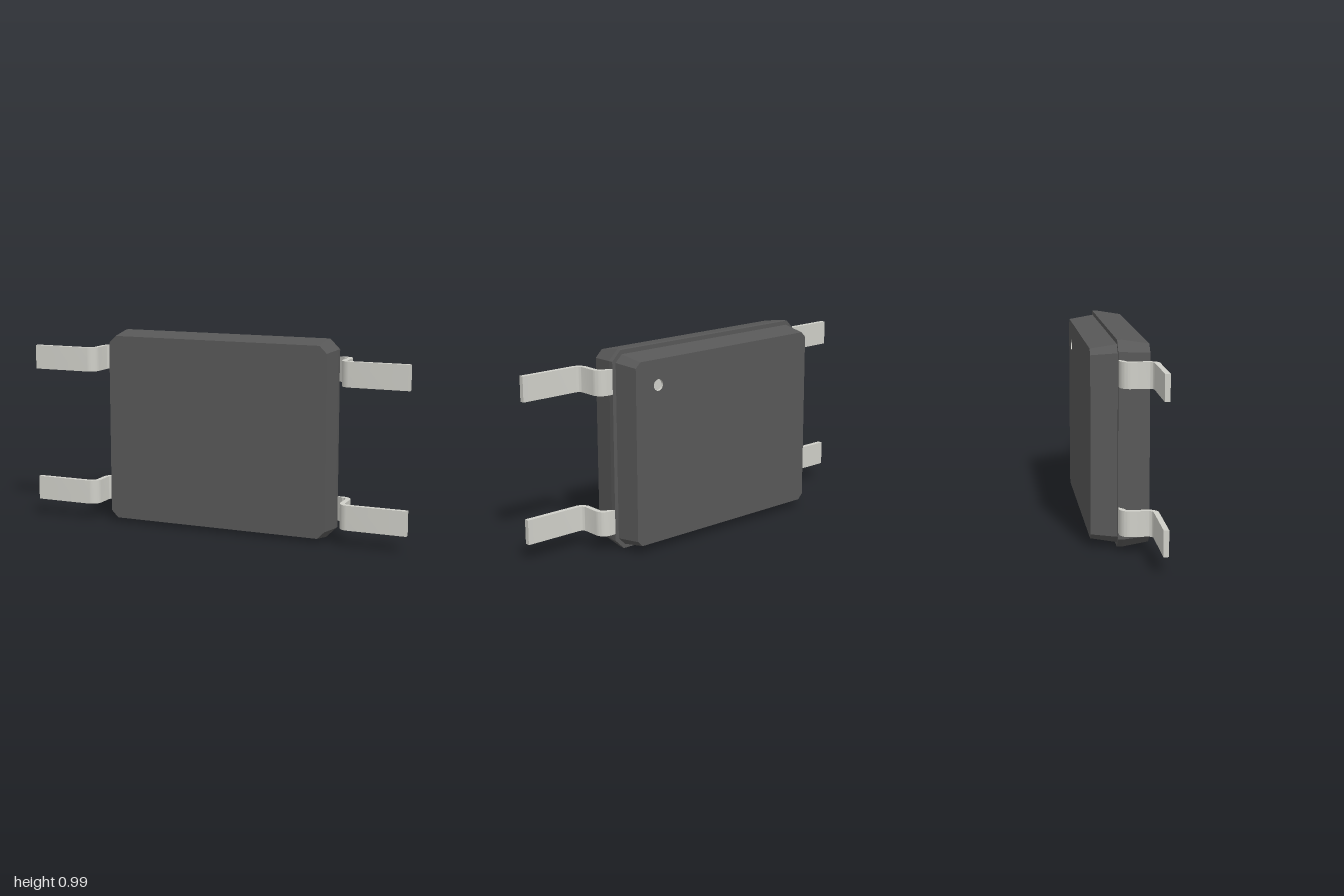
import * as THREE from 'three';
import { mergeGeometries, toCreasedNormals } from 'three/addons/utils/BufferGeometryUtils.js';

const MID = 0.494; // height of the body centre
const dark = new THREE.MeshStandardMaterial({ color: 0x585858, flatShading: true });
const metal = new THREE.MeshStandardMaterial({ color: 0xd0d0c9 });

// rectangle with chamfered corners, counter-clockwise
function outline([hx, hy, c]) {
  return [
    [hx, c - hy], [hx, hy - c], [hx - c, hy], [c - hx, hy],
    [-hx, hy - c], [-hx, c - hy], [c - hx, -hy], [hx - c, -hy],
  ].map(([x, y]) => new THREE.Vector2(x, y));
}

// sections run from back to front: [z, halfWidth, halfHeight, chamfer]
function loft(sections, hole) {
  const pos = [];
  for (let s = 0; s < sections.length - 1; s++) {
    const [za, ...sa] = sections[s], [zb, ...sb] = sections[s + 1];
    const a = outline(sa), b = outline(sb);
    a.forEach((p, i) => {
      const j = (i + 1) % a.length;
      const [A, B, C, D] = [[p.x, p.y, za], [a[j].x, a[j].y, za], [b[j].x, b[j].y, zb], [b[i].x, b[i].y, zb]];
      pos.push(...A, ...B, ...C, ...A, ...C, ...D);
    });
  }
  const sides = new THREE.BufferGeometry();
  sides.setAttribute('position', new THREE.Float32BufferAttribute(pos, 3));
  sides.computeVertexNormals();

  const [zBack, ...back] = sections[0], [zFront, ...front] = sections.at(-1);
  const backShape = new THREE.Shape(outline(back));
  if (hole) backShape.holes.push(new THREE.Path().absarc(-hole.x, hole.y, hole.r, 0, Math.PI * 2, true));
  const caps = [
    new THREE.ShapeGeometry(backShape, 16).rotateY(Math.PI).translate(0, 0, zBack),
    new THREE.ShapeGeometry(new THREE.Shape(outline(front))).translate(0, 0, zFront),
  ].map((g) => g.toNonIndexed().deleteAttribute('uv'));
  return mergeGeometries([sides, ...caps]);
}

// gull-wing strip: profile in x and -z, extruded along y
function leadGeometry() {
  const t = 0.025, w = 0.123, R = 0.05, r = R - t, xo = 0.68, q = Math.PI / 2;
  const xi = xo - t, zIn = 0.025, zOut = -0.152;
  const s = new THREE.Shape();
  s.moveTo(0.6, zIn - t);
  s.absarc(xi - r, zIn - R, r, q, 0, true);
  s.absarc(xi + R, zOut + R, R, Math.PI, Math.PI + q, false);
  s.lineTo(1, zOut);
  s.lineTo(1, zOut + t);
  s.absarc(xo + r, zOut + R, r, Math.PI + q, Math.PI, true);
  s.absarc(xo - R, zIn - R, R, 0, q, false);
  s.lineTo(0.6, zIn);
  const g = new THREE.ExtrudeGeometry(s, { depth: w, bevelEnabled: false, curveSegments: 8 });
  return toCreasedNormals(g.translate(0, 0, -w / 2).rotateX(-Math.PI / 2), 0.6);
}

export function createModel() {
  const group = new THREE.Group();
  const add = (name, geometry, material, x, y, z) => {
    const mesh = new THREE.Mesh(geometry, material);
    mesh.name = name;
    mesh.position.set(x, y, z);
    group.add(mesh);
    return mesh;
  };

  // moulded body: wide front half, slightly smaller back half
  const mark = { x: 0.425, y: 0.328, r: 0.028, depth: 0.012 };
  add('bodyFront', loft([
    [-0.025, 0.6, 0.494, 0.05], [0, 0.6, 0.494, 0.05], [0.125, 0.583, 0.474, 0.037],
  ]), dark, 0, MID, 0);
  add('bodyBack', loft([
    [-0.15, 0.56, 0.453, 0.027], [-0.025, 0.58, 0.473, 0.037],
  ], mark), dark, 0, MID, 0);

  // round recess marking the first contact
  const wall = new THREE.CylinderGeometry(mark.r, mark.r, mark.depth, 32, 1, true).rotateX(Math.PI / 2);
  const inner = metal.clone();
  inner.side = THREE.DoubleSide;
  add('markWall', wall, inner, mark.x, MID + mark.y, -0.15 + mark.depth / 2);
  const floor = new THREE.CircleGeometry(mark.r, 32).rotateY(Math.PI);
  add('markFloor', floor, metal, mark.x, MID + mark.y, -0.15 + mark.depth);

  // four bent leads
  const lead = leadGeometry();
  for (const side of [1, -1]) {
    for (const row of [1, -1]) {
      const name = (row > 0 ? 'upper' : 'lower') + (side > 0 ? 'Left' : 'Right') + 'Lead';
      const mesh = add(name, lead, metal, 0, MID + row * 0.348, 0);
      if (side < 0) mesh.rotation.z = Math.PI;
    }
  }
  return group;
}
